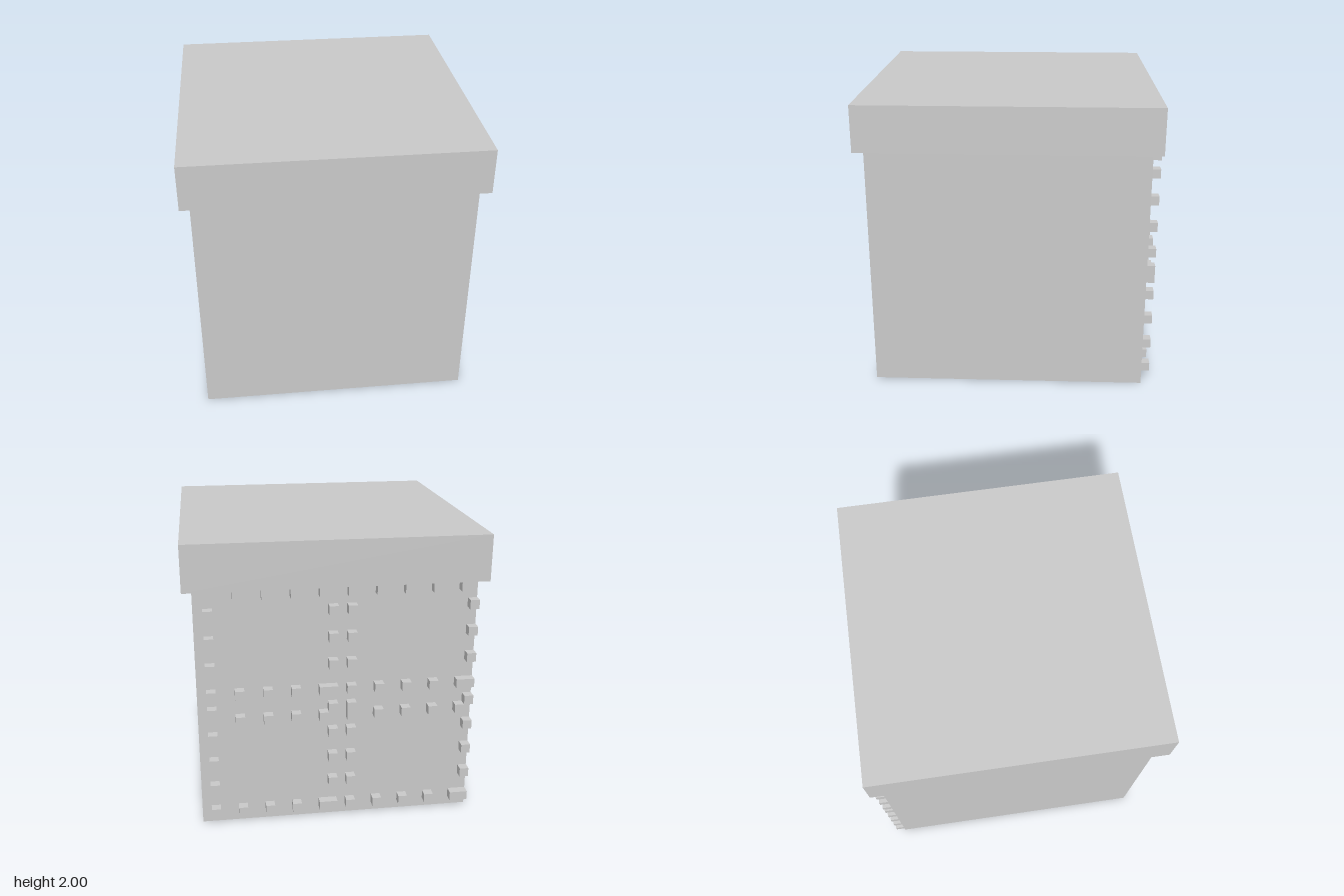
import * as THREE from 'three';

const U = 1 / 16; // modelling grid step

const grey = new THREE.MeshStandardMaterial({ color: 0xcccccc, side: THREE.DoubleSide });
grey.name = 'light grey';

// Thin-walled box without the listed faces (2 = top, 3 = bottom)
function shell(name, width, y0, y1, openFaces) {
  const geo = new THREE.BoxGeometry(width * U, (y1 - y0) * U, width * U);
  const index = Array.from(geo.index.array);
  geo.setIndex(index.filter((_, i) => !openFaces.includes(Math.floor(i / 6))));
  geo.clearGroups();
  const mesh = new THREE.Mesh(geo, grey);
  mesh.name = name;
  mesh.position.y = (y0 + y1) / 2 * U;
  return mesh;
}

// Studs of one back panel: [column, row, width, height] in grid steps
function panelStuds() {
  const studs = [[1, 1, 1, 1], [1, 12, 1, 2], [13, 1, 2, 1], [13, 12, 1, 1], [14, 13, 1, 1]];
  for (const i of [4, 7, 10]) {
    studs.push([i, 1, 1, 1], [i, 12, 1, 1]); // bottom and top rows
    studs.push([1, i, 1, 1], [14, i, 1, 1]); // side columns
  }
  return studs;
}

export function createModel() {
  const model = new THREE.Group();
  model.name = 'liddedBox';

  model.add(shell('body', 30, 0, 27, [2, 3]));
  model.add(shell('lid', 32, 27, 32, [3]));

  // Four identical studded panels on the back wall
  const backStuds = new THREE.Group();
  backStuds.name = 'backStuds';
  for (const column of [0, 15]) {
    for (const row of [0, 14]) {
      for (const [c, r, w, h] of panelStuds()) {
        const y0 = r + row;
        const y1 = Math.min(y0 + h, 27); // stop under the lid
        if (y1 <= y0) continue;
        const stud = new THREE.Mesh(new THREE.BoxGeometry(w * U, (y1 - y0) * U, U), grey);
        stud.name = 'stud';
        stud.position.set((15 - column - c - w / 2) * U, (y0 + y1) / 2 * U, -15.5 * U);
        backStuds.add(stud);
      }
    }
  }
  model.add(backStuds);
  return model;
}
